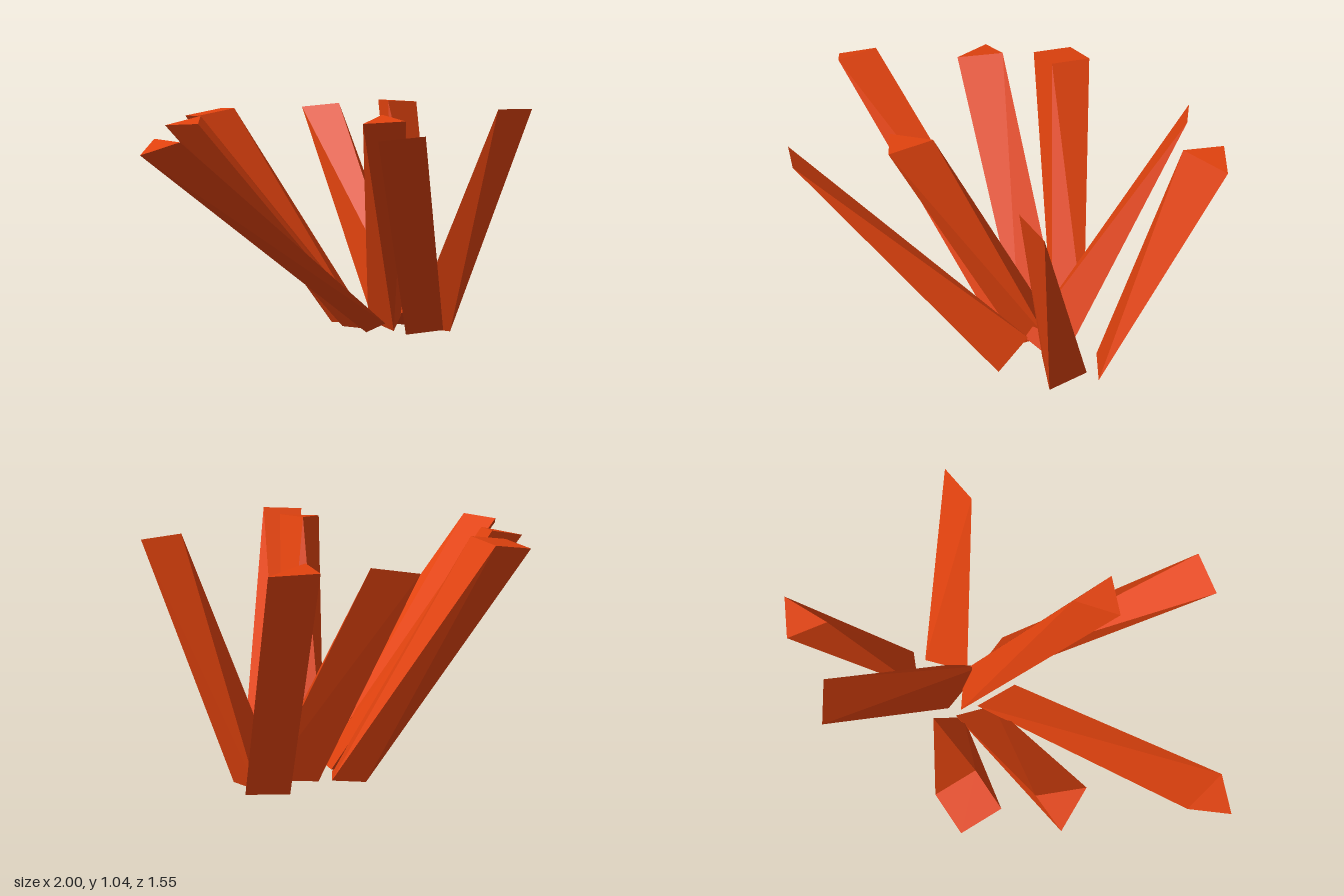
import * as THREE from 'three';
import { ConvexGeometry } from 'three/addons/geometries/ConvexGeometry.js';

// Each shard is a leaning faceted stick: corners of its top end, then of its foot.
const SHARDS = [
  { name: 'frontLeftShard',
    top: [[0.64, 1.045, 0.4], [0.82, 1.04, 0.45]],
    foot: [[0.46, 0.03, 0.05], [0.66, 0.02, -0.02], [0.61, 0, 0.16]] },
  { name: 'frontRightShard',
    top: [[-0.43, 0.985, 0.67], [-0.27, 1, 0.77]],
    foot: [[0.42, 0.055, 0.28], [0.28, 0.04, 0.18], [0.4, 0.12, 0.08]] },
  { name: 'innerFrontShard',
    top: [[-0.17, 1.02, 0.34], [0.02, 1.045, 0.27], [-0.04, 1.03, 0.46]],
    foot: [[0.45, 0.12, 0.02], [0.36, 0.05, -0.13], [0.33, 0.03, 0.06]] },
  { name: 'rightShard',
    top: [[-1, 0.92, -0.07], [-0.85, 0.97, -0.17], [-0.88, 0.97, 0.03]],
    foot: [[0.19, 0.04, 0.02], [0.3, 0.09, -0.08], [0.22, 0.09, 0.11]] },
  { name: 'backRightShard',
    top: [[-0.5, 0.985, -0.54], [-0.34, 1.02, -0.49], [-0.48, 1, -0.34]],
    foot: [[0.36, 0.06, -0.17], [0.25, 0.04, -0.02], [0.24, 0.03, -0.18]] },
  { name: 'backShard',
    top: [[-0.19, 1, -0.78], [-0.02, 1.03, -0.72], [-0.09, 1.04, -0.55], [-0.26, 1.01, -0.61]],
    foot: [[0.44, 0.05, -0.24], [0.3, 0.02, -0.31], [0.33, 0.04, -0.15]] },
  { name: 'backLeftShard',
    top: [[0.53, 1.01, -0.75], [0.64, 1.03, -0.6]],
    foot: [[0.55, 0.02, 0.03], [0.42, 0.02, -0.15], [0.39, 0.12, 0.09]] },
  { name: 'leftShard',
    top: [[0.87, 1.04, -0.55], [1, 1.03, -0.41], [0.78, 1.045, -0.4]],
    foot: [[0.73, 0.02, -0.02], [0.6, 0.015, -0.15]] },
];

export function createModel() {
  const group = new THREE.Group();
  group.name = 'shardCluster';
  const material = new THREE.MeshStandardMaterial({ color: 0xe0420e, flatShading: true });

  // Skin the two ends of every shard with flat facets
  for (const { name, top, foot } of SHARDS) {
    const corners = [...top, ...foot].map((p) => new THREE.Vector3(...p));
    const mesh = new THREE.Mesh(new ConvexGeometry(corners), material);
    mesh.name = name;
    group.add(mesh);
  }
  return group;
}
